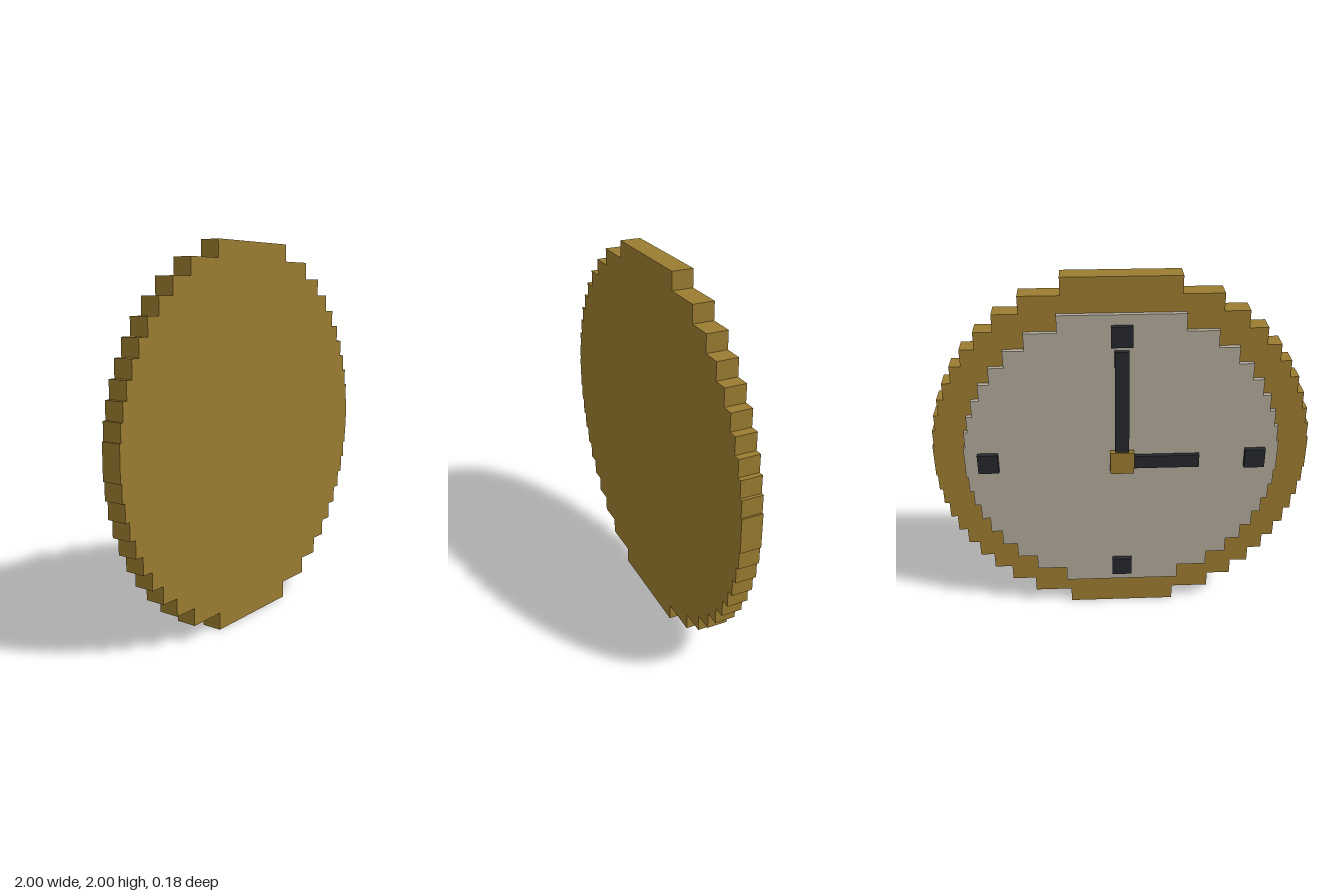
import * as THREE from 'three';

const ROW = 1 / 11; // height of one step
const gold = new THREE.MeshStandardMaterial({ color: 0x9a7b30 });
const cream = new THREE.MeshStandardMaterial({ color: 0xb1a898 });
const dark = new THREE.MeshStandardMaterial({ color: 0x25282d });

// Disc with a stair-stepped outline, spanning z0..z1
function steppedDisc(name, radius, rows, z0, z1, material) {
  const right = [];
  for (let i = 0; i < rows; i++) {
    const y = (i - rows / 2) * ROW;
    const half = Math.sqrt(radius ** 2 - (y + ROW / 2) ** 2);
    right.push(new THREE.Vector2(half, y), new THREE.Vector2(half, y + ROW));
  }
  // the two middle rows share a width, so drop the repeated corners
  const side = right.filter((p, i) => i !== rows - 1 && i !== rows);
  const left = side.map((p) => new THREE.Vector2(-p.x, p.y)).reverse();
  const geometry = new THREE.ExtrudeGeometry(new THREE.Shape([...side, ...left]), {
    depth: z1 - z0, bevelEnabled: false,
  });
  const mesh = new THREE.Mesh(geometry, material);
  mesh.name = name;
  mesh.position.set(0, 1, z0);
  return mesh;
}

// Block centred on (x, y), spanning z0..z1
function block(name, w, h, x, y, z0, z1, material) {
  const mesh = new THREE.Mesh(new THREE.BoxGeometry(w, h, z1 - z0), material);
  mesh.name = name;
  mesh.position.set(x, y, (z0 + z1) / 2);
  return mesh;
}

export function createModel() {
  const clock = new THREE.Group();
  clock.name = 'wallClock';

  // Case and dial; the dial looks towards -z
  clock.add(steppedDisc('case', 1, 22, -0.018, 0.091, gold));
  clock.add(steppedDisc('dial', 0.92 / 1.1, 18, -0.045, -0.018, cream));

  // Four hour markers
  const markers = new THREE.Group();
  markers.name = 'hourMarkers';
  for (let i = 0; i < 4; i++) {
    const a = (i * Math.PI) / 2;
    markers.add(block('hourMarker', 0.109, 0.109,
      0.71 * Math.sin(a), 1 + 0.71 * Math.cos(a), -0.073, -0.045, dark));
  }
  clock.add(markers);

  // Hands at three o'clock and the hub that holds them
  clock.add(block('minuteHand', 0.073, 0.636, 0, 1.318, -0.082, -0.057, dark));
  clock.add(block('hourHand', 0.409, 0.073, -0.205, 1, -0.082, -0.057, dark));
  clock.add(block('hub', 0.127, 0.127, 0, 1, -0.091, -0.06, gold));

  return clock;
}
